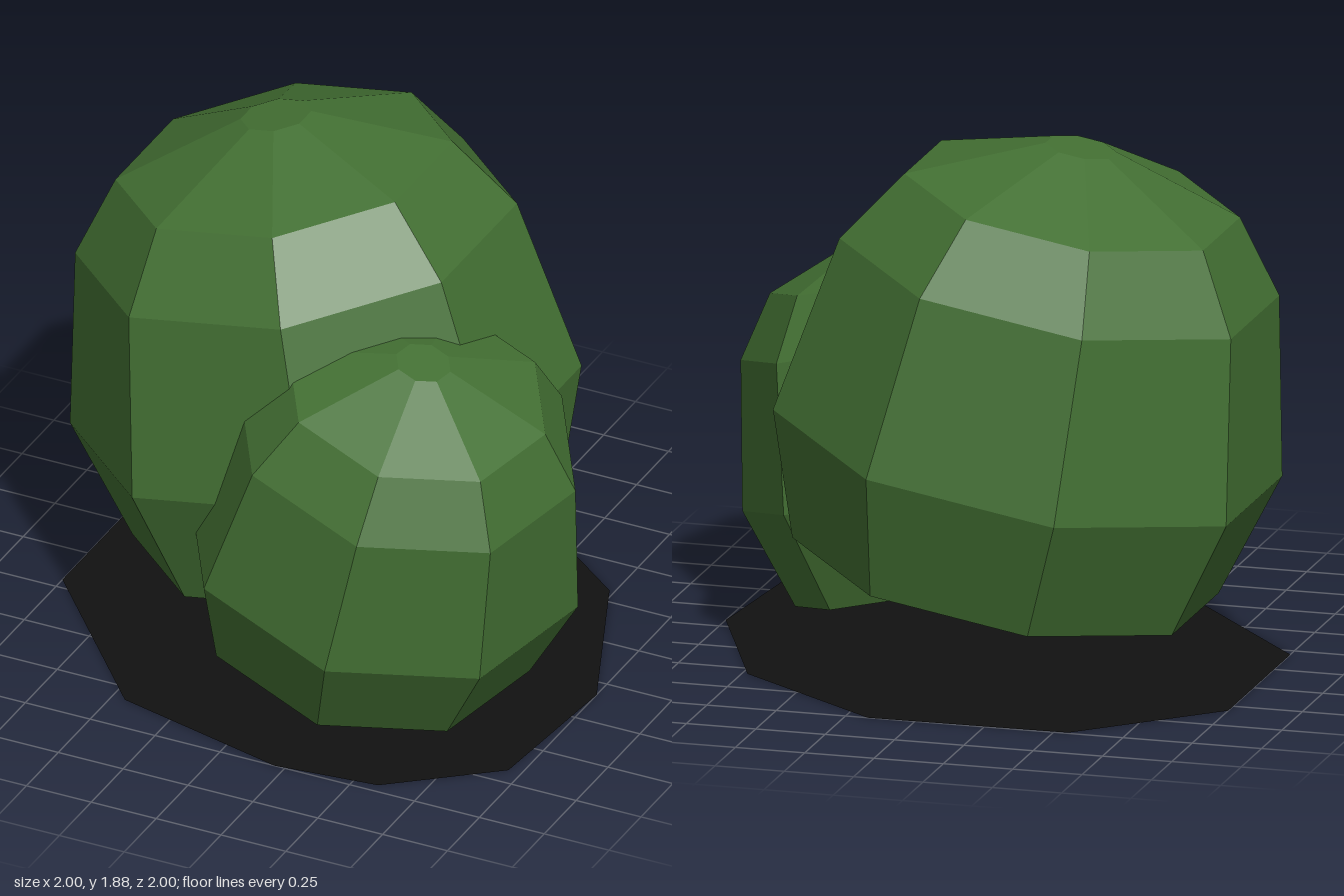
import * as THREE from 'three';

export function createModel() {
  const model = new THREE.Group();
  model.name = 'bush';

  const leafGreen = new THREE.MeshStandardMaterial({ color: 0x437033, flatShading: true, side: THREE.DoubleSide });
  leafGreen.name = 'leaf green';
  const soilBlack = new THREE.MeshStandardMaterial({ color: 0x111111, side: THREE.DoubleSide });
  soilBlack.name = 'soil black';

  // Eight-sided dome, open below: [flat-to-centre radius, height] from the hem to the flat crown
  const profile = [[0.695, 0], [0.83, 0.453], [0.717, 1.103], [0.547, 1.367], [0.115, 1.545], [0, 1.545]];
  const points = profile.map(([r, h]) => new THREE.Vector2(r / Math.cos(Math.PI / 8), h));
  const dome = new THREE.LatheGeometry(points, 8, Math.PI / 8);

  // Each clump leans along its axis and is turned about it
  function addClump(name, base, axis, turn, scale) {
    const mesh = new THREE.Mesh(dome, leafGreen);
    mesh.name = name;
    mesh.position.set(...base);
    mesh.scale.setScalar(scale);
    mesh.quaternion.setFromUnitVectors(new THREE.Vector3(0, 1, 0), new THREE.Vector3(...axis).normalize());
    mesh.rotateY(turn);
    model.add(mesh);
  }
  addClump('largeClump', [-0.075, 0.34, -0.145], [-0.176, 0.984, 0], 0, 1);
  addClump('smallClump', [0.19, 0.183, 0.238], [0.238, 0.963, 0.12], -0.21, 0.794);

  // Flat patch of soil, outline as x, z
  const outline = [
    [-0.55, -0.99], [0.17, -1], [0.73, -0.57], [1, -0.08 + 0.16], [0.95, 0.67],
    [0.59, 0.96], [0.21, 1], [-0.45, 0.83], [-1, 0.2], [-1, -0.56],
  ];
  const patch = new THREE.ShapeGeometry(new THREE.Shape(outline.map(([x, z]) => new THREE.Vector2(x, -z))));
  patch.rotateX(-Math.PI / 2);
  const soil = new THREE.Mesh(patch, soilBlack);
  soil.name = 'soilPatch';
  model.add(soil);

  return model;
}
